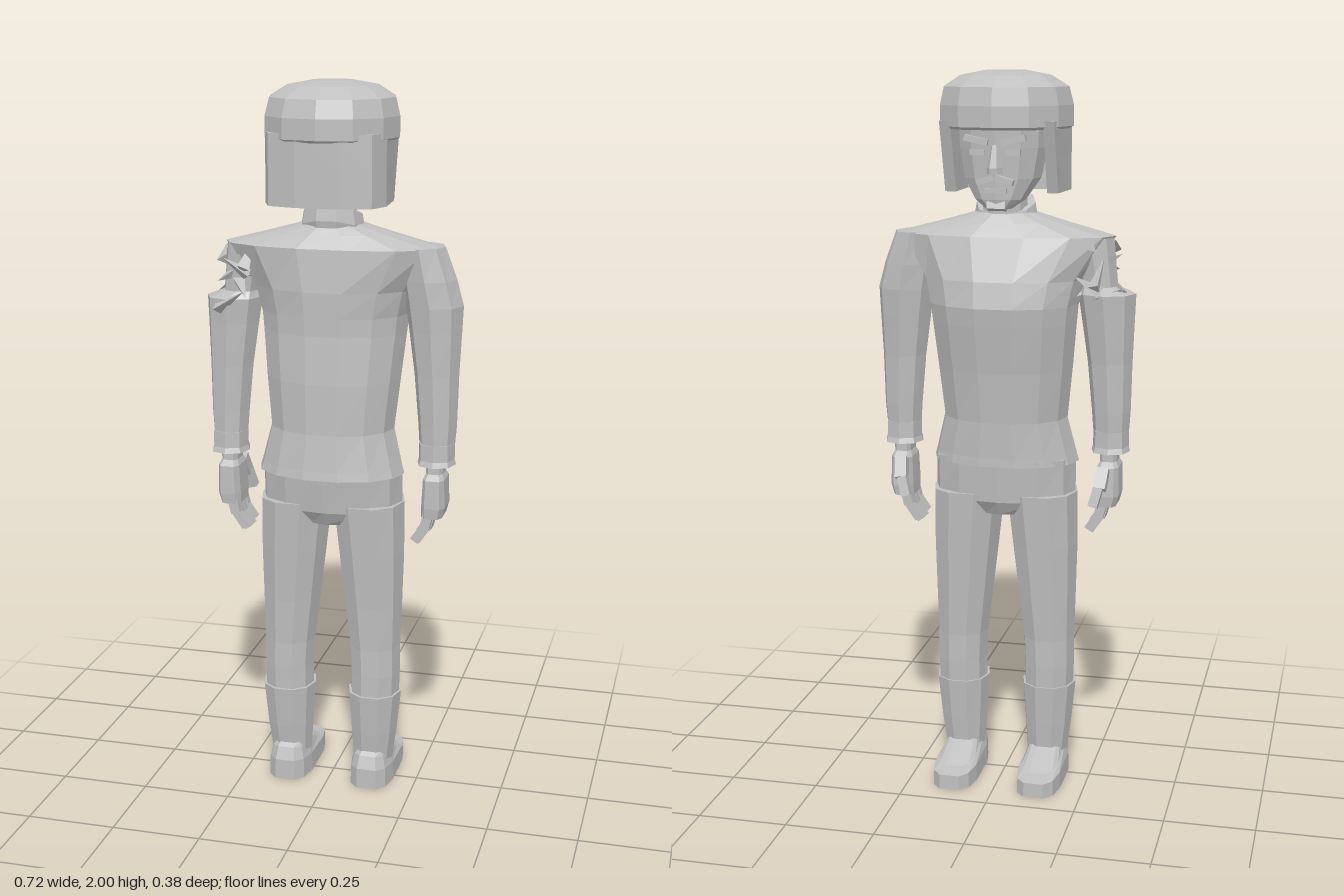
import * as THREE from 'three';

const cloth = new THREE.MeshStandardMaterial({ color: 0xbfbfbf });
cloth.name = 'plainGrey';

// Faceted mesh: every face keeps its own normal
function add(parent, name, geometry) {
  const g = geometry.index ? geometry.toNonIndexed() : geometry;
  g.computeVertexNormals();
  const mesh = new THREE.Mesh(g, cloth);
  mesh.name = name;
  parent.add(mesh);
  return mesh;
}

// Closed loft through oval rings, bottom to top.
// Ring: [y, centreX, centreZ, radiusX, radiusZ, tilt]; power < 1 is boxier, > 1 more pointed
function loft(rings, n = 8, power = 1, phase = 0) {
  const pos = [], idx = [];
  const bend = v => Math.sign(v) * Math.pow(Math.abs(v), power);
  for (const [y, cx, cz, rx, rz, tilt = 0] of rings) {
    for (let i = 0; i < n; i++) {
      const a = (i + phase) / n * Math.PI * 2;
      const dz = rz * bend(Math.sin(a));
      pos.push(cx + rx * bend(Math.cos(a)), y + tilt * dz, cz + dz);
    }
  }
  const m = rings.length, first = rings[0], last = rings[m - 1];
  pos.push(first[1], first[0], first[2], last[1], last[0], last[2]);
  for (let i = 0; i < n; i++) {
    const k = (i + 1) % n;
    for (let j = 0; j < m - 1; j++) {
      const a = j * n + i, b = j * n + k;
      idx.push(a, a + n, b, b, a + n, b + n);
    }
    idx.push(m * n, i, k, m * n + 1, (m - 1) * n + k, (m - 1) * n + i);
  }
  const g = new THREE.BufferGeometry();
  g.setAttribute('position', new THREE.Float32BufferAttribute(pos, 3));
  g.setIndex(idx);
  return g;
}

function box(parent, name, w, h, d, x, y, z, rx = 0, rz = 0) {
  const mesh = add(parent, name, new THREE.BoxGeometry(w, h, d));
  mesh.position.set(x, y, z);
  mesh.rotation.set(rx, 0, rz);
  return mesh;
}

// The figure looks towards -z
function buildHead(parent) {
  const head = new THREE.Group();
  head.name = 'head';
  parent.add(head);

  add(head, 'neck', loft([[1.56, 0, 0, 0.065, 0.065], [1.74, 0, -0.005, 0.06, 0.06]], 10));
  add(head, 'collar', loft([
    [1.58, 0, 0.01, 0.08, 0.075, 0.4], [1.605, 0, 0.01, 0.09, 0.08, 0.4],
    [1.65, 0, 0.01, 0.082, 0.072, 0.4]], 10));
  add(head, 'face', loft([
    [1.64, 0, -0.075, 0.035, 0.035], [1.665, 0, -0.055, 0.07, 0.062],
    [1.72, 0, -0.025, 0.105, 0.095], [1.8, 0, -0.015, 0.12, 0.112],
    [1.9, 0, -0.01, 0.125, 0.125]], 12, 0.85));

  // Facial features
  add(head, 'nose', loft([
    [1.735, 0, -0.125, 0.022, 0.024], [1.75, 0, -0.128, 0.02, 0.022],
    [1.81, 0, -0.12, 0.01, 0.012]], 6));
  box(head, 'mouth', 0.06, 0.012, 0.02, 0, 1.69, -0.115);
  box(head, 'chin', 0.05, 0.025, 0.03, 0, 1.65, -0.1, 0.3);
  for (const s of [1, -1]) {
    box(head, 'moustache', 0.05, 0.016, 0.022, s * 0.025, 1.718, -0.122, 0, s * -0.3);
    box(head, 'brow', 0.065, 0.016, 0.025, s * 0.05, 1.822, -0.122, 0, s * 0.2);
    box(head, 'eye', 0.04, 0.016, 0.008, s * 0.048, 1.79, -0.121);
  }

  // Hair wraps the back and sides; its front edge runs back towards the bottom
  const shape = new THREE.Shape();
  [[0.155, -0.11], [0.165, 0.09], [0.14, 0.15], [0.06, 0.175], [-0.06, 0.175], [-0.14, 0.15],
    [-0.165, 0.09], [-0.155, -0.11], [-0.125, -0.11], [-0.125, 0.08], [0.125, 0.08], [0.125, -0.11]]
    .forEach(([x, z], i) => i ? shape.lineTo(x, z) : shape.moveTo(x, z));
  const hair = new THREE.ExtrudeGeometry(shape, { depth: 0.19, bevelEnabled: false, steps: 2 });
  hair.rotateX(Math.PI / 2);
  hair.translate(0, 1.87, 0);
  const p = hair.attributes.position;
  for (let i = 0; i < p.count; i++) {
    if (p.getZ(i) < -0.01) p.setZ(i, p.getZ(i) + (1.87 - p.getY(i)) * 0.32);
  }
  add(head, 'hair', hair);

  add(head, 'hat', loft([
    [1.848, 0, 0.015, 0.172, 0.168], [1.855, 0, 0.015, 0.184, 0.18],
    [1.91, 0, 0.015, 0.184, 0.18], [1.958, 0, 0.012, 0.172, 0.168],
    [1.987, 0, 0.01, 0.125, 0.122], [2.0, 0, 0.01, 0.055, 0.055]], 12, 0.95));
}

function buildTorso(parent) {
  add(parent, 'jacket', loft([
    [0.935, 0, 0.02, 0.207, 0.14], [0.96, 0, 0.018, 0.2, 0.138],
    [1.06, 0, 0.01, 0.175, 0.135], [1.2, 0, 0, 0.19, 0.142],
    [1.33, 0, -0.015, 0.203, 0.148], [1.38, 0, -0.018, 0.208, 0.152],
    [1.45, 0, -0.01, 0.225, 0.146], [1.565, 0, 0.008, 0.305, 0.118],
    [1.6, 0, 0.008, 0.17, 0.09], [1.625, 0, 0.008, 0.08, 0.07]], 14, 0.95));
  add(parent, 'hips', loft([
    [0.79, 0, 0.008, 0.08, 0.085], [0.83, 0, 0.008, 0.2, 0.108],
    [0.95, 0, 0.01, 0.2, 0.122]], 12, 0.85));
}

function buildArm(parent, s) {
  const arm = new THREE.Group();
  arm.name = s > 0 ? 'leftArm' : 'rightArm';
  parent.add(arm);

  // Sleeve: the right one is torn open below the shoulder
  const top = s > 0
    ? [[1.48, 0.268, 0.005, 0.075, 0.078], [1.568, 0.25, 0.005, 0.06, 0.075]]
    : [[1.43, 0.262, 0.005, 0.05, 0.055], [1.56, 0.245, 0.005, 0.055, 0.06]];
  const sleeve = [
    [1.0, 0.297, 0.015, 0.048, 0.055], [1.08, 0.297, 0.012, 0.054, 0.058],
    [1.22, 0.292, 0.01, 0.062, 0.062], [1.34, 0.286, 0.006, 0.073, 0.07],
    [1.41, 0.282, 0.005, 0.08, 0.076], ...top];
  const side = r => [r[0], s * r[1], ...r.slice(2)];
  add(arm, 'sleeve', loft(sleeve.map(side), 8));
  add(arm, 'cuff', loft([
    [0.97, 0.297, 0.015, 0.054, 0.064], [0.985, 0.297, 0.015, 0.05, 0.058],
    [1.03, 0.297, 0.015, 0.05, 0.057]].map(side), 8, 0.85));

  // Hand with curled fingers and a forward thumb
  add(arm, 'palm', loft([
    [0.82, 0.29, 0.01, 0.03, 0.056], [0.85, 0.294, 0.01, 0.034, 0.06],
    [0.93, 0.295, 0.012, 0.031, 0.057], [0.945, 0.295, 0.012, 0.024, 0.04],
    [0.99, 0.295, 0.012, 0.026, 0.04]].map(side), 8, 0.5, 0.5));
  for (let i = 0; i < 4; i++) {
    const z = 0.051 - i * 0.027, drop = i === 0 || i === 3 ? 0.01 : 0;
    box(arm, 'finger', 0.027, 0.06, 0.023, s * 0.28, 0.81 + drop, z, 0, s * -0.25);
    box(arm, 'fingertip', 0.023, 0.05, 0.021, s * 0.258, 0.763 + drop, z, 0, s * -0.6);
  }
  box(arm, 'thumb', 0.032, 0.06, 0.032, s * 0.285, 0.905, -0.062, 0.5, s * -0.1);
  box(arm, 'thumbTip', 0.026, 0.055, 0.026, s * 0.272, 0.858, -0.083, 0.2, s * -0.25);
}

// Ragged strips of cloth around the torn right shoulder
function buildTear(parent) {
  const tear = new THREE.Group();
  tear.name = 'tornSleeve';
  parent.add(tear);
  for (let i = 0; i < 16; i++) {
    const a = i / 16 * Math.PI * 2;
    const strip = add(tear, 'tornStrip',
      new THREE.ConeGeometry(0.02, 0.07 + (i % 3) * 0.015, 3));
    strip.position.set(-0.255 + Math.cos(a) * 0.045, 1.41 + (i * 7 % 5) * 0.032,
      0.008 + Math.sin(a) * 0.08);
    strip.rotation.set(Math.sin(a) * 0.9, i * 0.7, (i % 2 ? 1 : -1) * (0.9 + (i % 4) * 0.2));
  }
}

function buildLeg(parent, s) {
  const leg = new THREE.Group();
  leg.name = s > 0 ? 'leftLeg' : 'rightLeg';
  parent.add(leg);
  const side = r => [r[0], s * r[1], ...r.slice(2)];

  add(leg, 'trouserLeg', loft([
    [0.26, 0.127, 0.014, 0.07, 0.076], [0.34, 0.128, 0.013, 0.071, 0.079],
    [0.42, 0.126, 0.012, 0.073, 0.079], [0.55, 0.12, 0.01, 0.083, 0.088],
    [0.7, 0.113, 0.009, 0.094, 0.1], [0.85, 0.104, 0.008, 0.102, 0.112]].map(side), 10, 0.9));
  add(leg, 'gaiter', loft([
    [0.07, 0.122, 0.015, 0.058, 0.058], [0.16, 0.125, 0.016, 0.067, 0.07],
    [0.28, 0.127, 0.016, 0.077, 0.083]].map(side), 10, 0.9));
  add(leg, 'shoe', loft([
    [0, 0.122, -0.043, 0.064, 0.148], [0.05, 0.122, -0.043, 0.062, 0.147, 0.06],
    [0.072, 0.122, -0.025, 0.052, 0.115, 0.2],
    [0.1, 0.122, 0.02, 0.042, 0.055, 0.1]].map(side), 12, 0.6, 0.5));
}

export function createModel() {
  const figure = new THREE.Group();
  figure.name = 'standingFigure';
  buildHead(figure);
  buildTorso(figure);
  for (const s of [1, -1]) {
    buildArm(figure, s);
    buildLeg(figure, s);
  }
  buildTear(figure);
  return figure;
}
